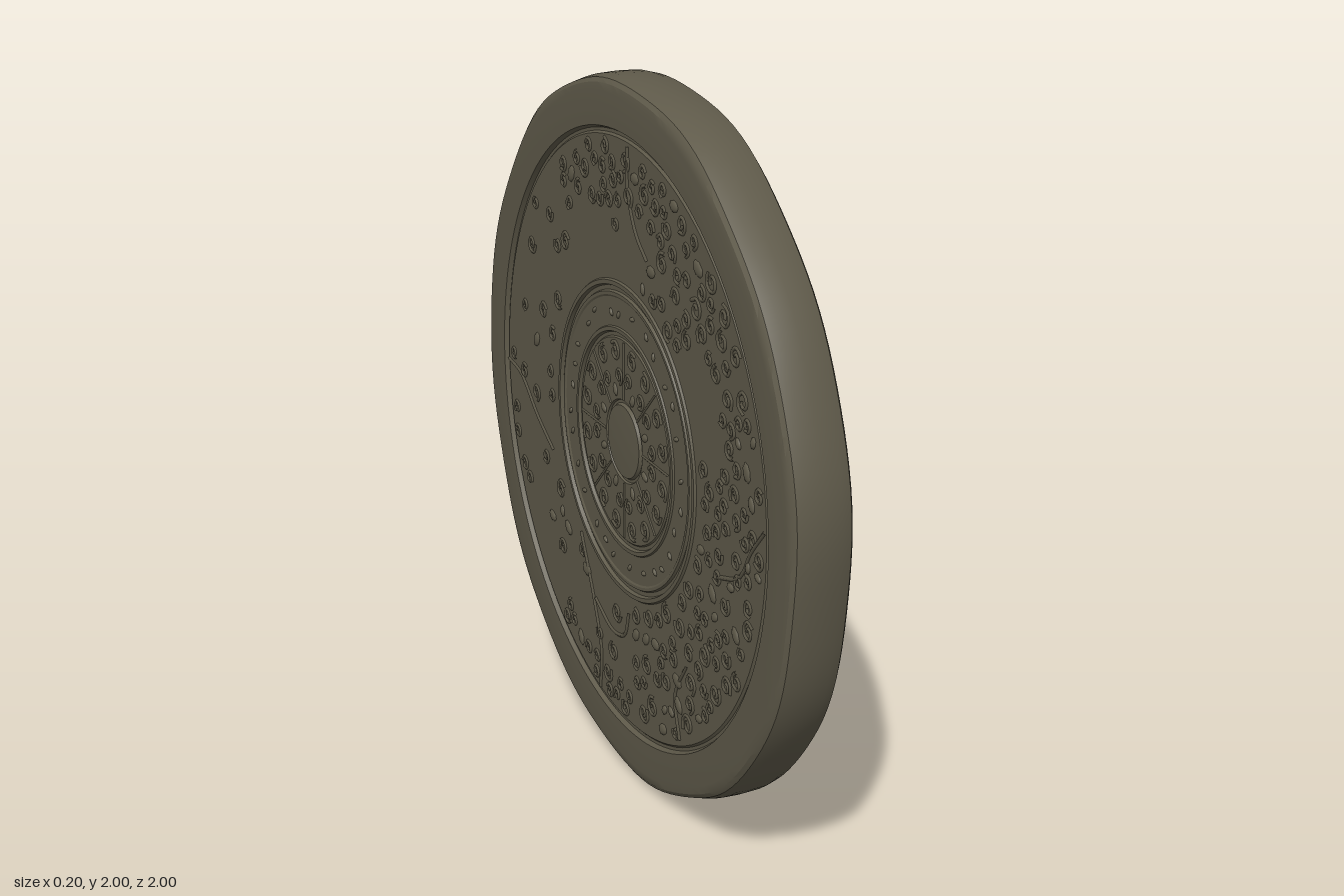
import * as THREE from 'three';
import { mergeGeometries, toCreasedNormals } from 'three/addons/utils/BufferGeometryUtils.js';

const FIELD = 0.078; // height of the carved field above the mid plane
const TAU = Math.PI * 2;

function seeded(s) {
  return () => {
    s = (s * 1664525 + 1013904223) % 4294967296;
    return s / 4294967296;
  };
}

// Solid disc turned from half a cross-section, mirrored for the other face
function discGeometry() {
  const half = [
    [0.998, 0], [0.996, 0.045], [0.988, 0.074], [0.976, 0.083], [0.955, 0.086], [0.862, 0.085],
    [0.855, 0.072], [0.846, 0.072], [0.84, FIELD],
    [0.45, FIELD], [0.446, 0.084], [0.434, 0.084], [0.43, 0.074], [0.418, 0.074],
    [0.414, 0.081], [0.405, 0.081], [0.40, FIELD],
    [0.32, FIELD], [0.317, 0.083], [0.306, 0.083], [0.302, 0.074], [0.292, 0.074], [0.288, FIELD],
    [0.118, FIELD], [0.115, 0.072], [0.107, 0.072], [0.102, 0.081], [0.06, 0.083], [0, 0.083],
  ];
  const lower = half.slice(1).reverse().map(([r, h]) => new THREE.Vector2(r, -h));
  const upper = half.map(([r, h]) => new THREE.Vector2(r, h));
  const geo = new THREE.LatheGeometry([...lower, ...upper], 128);
  // Slightly hand-worked outline
  const p = geo.attributes.position;
  for (let i = 0; i < p.count; i++) {
    const x = p.getX(i), z = p.getZ(i), r = Math.hypot(x, z);
    if (r < 0.9) continue;
    const a = Math.atan2(z, x);
    const k = 1 + (0.004 * Math.sin(7 * a + 1) + 0.004 * Math.sin(12 * a)) * (r - 0.9) / 0.1;
    p.setX(i, x * k);
    p.setZ(i, z * k);
  }
  geo.rotateZ(-Math.PI / 2);
  return toCreasedNormals(geo, 0.5);
}

// Raised line through points in the plane of a face
function ridge(points, radius, segments) {
  const curve = new THREE.CatmullRomCurve3(points.map(([x, y]) => new THREE.Vector3(x, y, 0)));
  const g = new THREE.TubeGeometry(curve, segments, radius, 4);
  g.scale(1, 1, 0.9);
  g.translate(0, 0, FIELD + 0.001);
  return g;
}

// Curling tendril around a centre
function scroll(cx, cy, size, start, dir, radius = 0.0055) {
  const pts = [];
  for (let i = 0; i <= 8; i++) {
    const t = i / 8, a = start + dir * t * 1.35 * TAU, r = size * (1 - 0.75 * t);
    pts.push([cx + Math.cos(a) * r, cy + Math.sin(a) * r]);
  }
  return ridge(pts, radius, 16);
}

function bump(cx, cy, size, angle = 0, stretch = 1) {
  const g = new THREE.SphereGeometry(size, 8, 4, 0, TAU, 0, Math.PI / 2);
  g.rotateX(Math.PI / 2);
  g.scale(stretch, 1, 0.008 / size);
  g.rotateZ(angle);
  g.translate(cx, cy, FIELD - 0.001);
  return g;
}

// Scattered scrolls; worn zones [angle, half width, inner r, outer r] stay nearly smooth
function scrollField(seed, worn) {
  const rnd = seeded(seed), placed = [], parts = [];
  for (let n = 0; n < 6000 && placed.length < 330; n++) {
    const a = rnd() * TAU, r = Math.sqrt(0.48 ** 2 + rnd() * (0.81 ** 2 - 0.48 ** 2));
    const size = 0.019 + rnd() * 0.015, x = Math.cos(a) * r, y = Math.sin(a) * r;
    const smooth = worn.some(([wa, hw, r0, r1]) => {
      const d = Math.abs(Math.atan2(Math.sin(a - wa), Math.cos(a - wa)));
      return d < hw && r > r0 && r < r1;
    });
    if (smooth && rnd() > 0.012) continue;
    if (placed.some(q => Math.hypot(q[0] - x, q[1] - y) < (q[2] + size) * 1.0)) continue;
    placed.push([x, y, size]);
    parts.push(rnd() < 0.82
      ? scroll(x, y, size, rnd() * TAU, rnd() < 0.5 ? 1 : -1)
      : bump(x, y, size * 0.6, rnd() * TAU, 1.5));
  }
  return mergeGeometries(parts);
}

// Curved stems dividing the field into panels
function stems() {
  const paths = [
    [[0.03, 0.83], [0.03, 0.72], [0.08, 0.61], [0.15, 0.55]],
    [[-0.84, -0.02], [-0.74, -0.04], [-0.62, -0.13], [-0.5, -0.2]],
    [[-0.17, -0.82], [-0.16, -0.7], [-0.21, -0.56], [-0.3, -0.38]],
    [[0.83, 0.05], [0.76, -0.03], [0.7, -0.12], [0.58, -0.17]],
    [[-0.2, -0.55], [-0.08, -0.6], [0, -0.58], [0.03, -0.5]],
    [[0.36, -0.74], [0.33, -0.62], [0.4, -0.5]],
  ];
  return mergeGeometries(paths.map(p => ridge(p, 0.006, 20)));
}

// Paired scrolls and leaves around the central boss
function medallion() {
  const parts = [], count = 8;
  for (let i = 0; i < count; i++) {
    const a = (i + 0.5) / count * TAU;
    for (const s of [-1, 1]) {
      const b = a + s * 0.17, c = a + s * 0.22;
      parts.push(scroll(Math.cos(b) * 0.25, Math.sin(b) * 0.25, 0.03, a - s * 0.5, s));
      parts.push(scroll(Math.cos(c) * 0.183, Math.sin(c) * 0.183, 0.024, a + Math.PI, -s, 0.005));
    }
    const e = i / count * TAU;
    parts.push(ridge([[0.12, 0], [0.17, 0], [0.22, 0], [0.285, 0]]
      .map(([r]) => [Math.cos(e) * r, Math.sin(e) * r]), 0.004, 6));
    parts.push(bump(Math.cos(a) * 0.145, Math.sin(a) * 0.145, 0.012, a, 1.6));
  }
  return mergeGeometries(parts);
}

// Faint small marks in the plain band between the rings
function bandMarks(seed) {
  const rnd = seeded(seed), parts = [];
  for (let i = 0; i < 28; i++) {
    const a = (i + rnd() * 0.6) / 28 * TAU, r = 0.35 + rnd() * 0.025;
    parts.push(bump(Math.cos(a) * r, Math.sin(a) * r, 0.007, rnd() * TAU, 1.8));
  }
  return mergeGeometries(parts);
}

export function createModel() {
  const bronze = new THREE.MeshStandardMaterial({ color: 0x5f5a4a });
  bronze.name = 'dark bronze';
  const model = new THREE.Group();
  model.name = 'carvedDisc';
  const add = (parent, name, geometry) => {
    const mesh = new THREE.Mesh(geometry, bronze);
    mesh.name = name;
    parent.add(mesh);
  };

  const disc = new THREE.Group();
  disc.name = 'disc';
  add(disc, 'body', discGeometry());

  const faces = [
    ['leftFace', Math.PI / 2, 11, [
      [Math.PI, 0.28, 0.47, 0.74], [1.75, 0.45, 0.47, 0.66], [0.1, 0.35, 0.47, 0.72],
      [-0.9, 0.22, 0.47, 0.7], [-1.4, 0.22, 0.47, 0.74], [0.7, 0.3, 0.47, 0.6]]],
    ['rightFace', -Math.PI / 2, 29, [
      [Math.PI, 1.0, 0.47, 0.84], [-1.8, 0.35, 0.47, 0.75], [1.7, 0.5, 0.47, 0.66],
      [0.5, 0.3, 0.47, 0.65]]],
  ];
  for (const [name, turn, seed, worn] of faces) {
    const face = new THREE.Group();
    face.name = name;
    face.rotation.y = turn;
    add(face, 'scrollwork', scrollField(seed, worn));
    add(face, 'stems', stems());
    add(face, 'medallion', medallion());
    add(face, 'bandMarks', bandMarks(seed + 5));
    disc.add(face);
  }

  // The disc stands upright, turned very slightly
  disc.rotation.y = -0.015;
  disc.position.y = 1;
  model.add(disc);
  return model;
}
